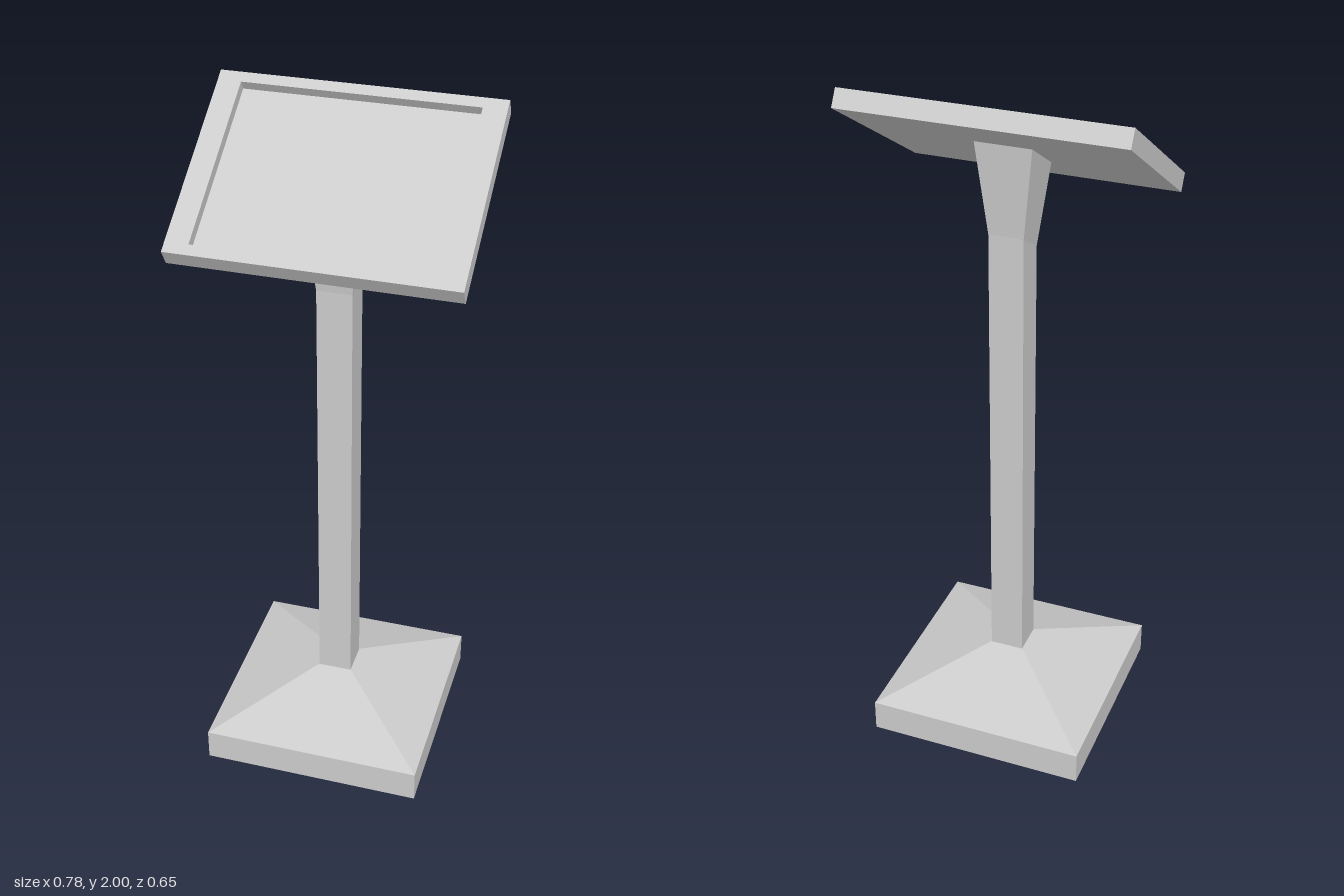
import * as THREE from 'three';

const material = new THREE.MeshStandardMaterial({ color: 0xcccccc, flatShading: true });

// Four corners, counterclockwise from above; front and back edges may differ in height.
const ring = (halfX, zFront, zBack, yFront, yBack = yFront) => [
  [halfX, yFront, zFront],
  [halfX, yBack, zBack],
  [-halfX, yBack, zBack],
  [-halfX, yFront, zFront],
];

// Skins a stack of rings with flat quads and closes both ends.
function loft(name, rings) {
  const positions = [];
  const quad = (a, b, c, d) => positions.push(...a, ...b, ...c, ...a, ...c, ...d);
  for (let r = 0; r < rings.length - 1; r++) {
    const lower = rings[r], upper = rings[r + 1];
    for (let i = 0; i < 4; i++) {
      const j = (i + 1) % 4;
      quad(lower[i], lower[j], upper[j], upper[i]);
    }
  }
  quad(...[...rings[0]].reverse());
  quad(...rings[rings.length - 1]);
  const geometry = new THREE.BufferGeometry();
  geometry.setAttribute('position', new THREE.Float32BufferAttribute(positions, 3));
  geometry.computeVertexNormals();
  const mesh = new THREE.Mesh(geometry, material);
  mesh.name = name;
  return mesh;
}

export function createModel() {
  const group = new THREE.Group();
  group.name = 'displayStand';

  // Square plinth with a sloped top
  group.add(loft('base', [
    ring(0.325, 0.325, -0.325, 0),
    ring(0.325, 0.325, -0.325, 0.097),
    ring(0.052, 0.052, -0.052, 0.208),
  ]));

  // Square post, cut at a slant where the neck begins
  group.add(loft('post', [
    ring(0.05, 0.05, -0.05, 0.208),
    ring(0.05, 0.05, -0.05, 1.525, 1.585),
  ]));

  // Flared neck meeting the underside of the panel
  group.add(loft('neck', [
    ring(0.05, 0.05, -0.05, 1.525, 1.585),
    ring(0.08, 0.075, -0.07, 1.76, 1.849),
  ]));

  // Tilted panel: outer slab, rim, and recessed floor
  const halfX = 0.39, halfZ = 0.287, thickness = 0.053;
  const innerX = 0.325, innerZ = 0.255, depth = 0.029;
  const panel = loft('panel', [
    ring(halfX, halfZ, -halfZ, -thickness),
    ring(halfX, halfZ, -halfZ, 0),
    ring(innerX, innerZ, -innerZ, 0),
    ring(innerX, innerZ, -innerZ, -depth),
  ]);
  panel.position.set(0, 1.85, 0.028);
  panel.rotation.x = THREE.MathUtils.degToRad(31.5);
  group.add(panel);

  return group;
}
